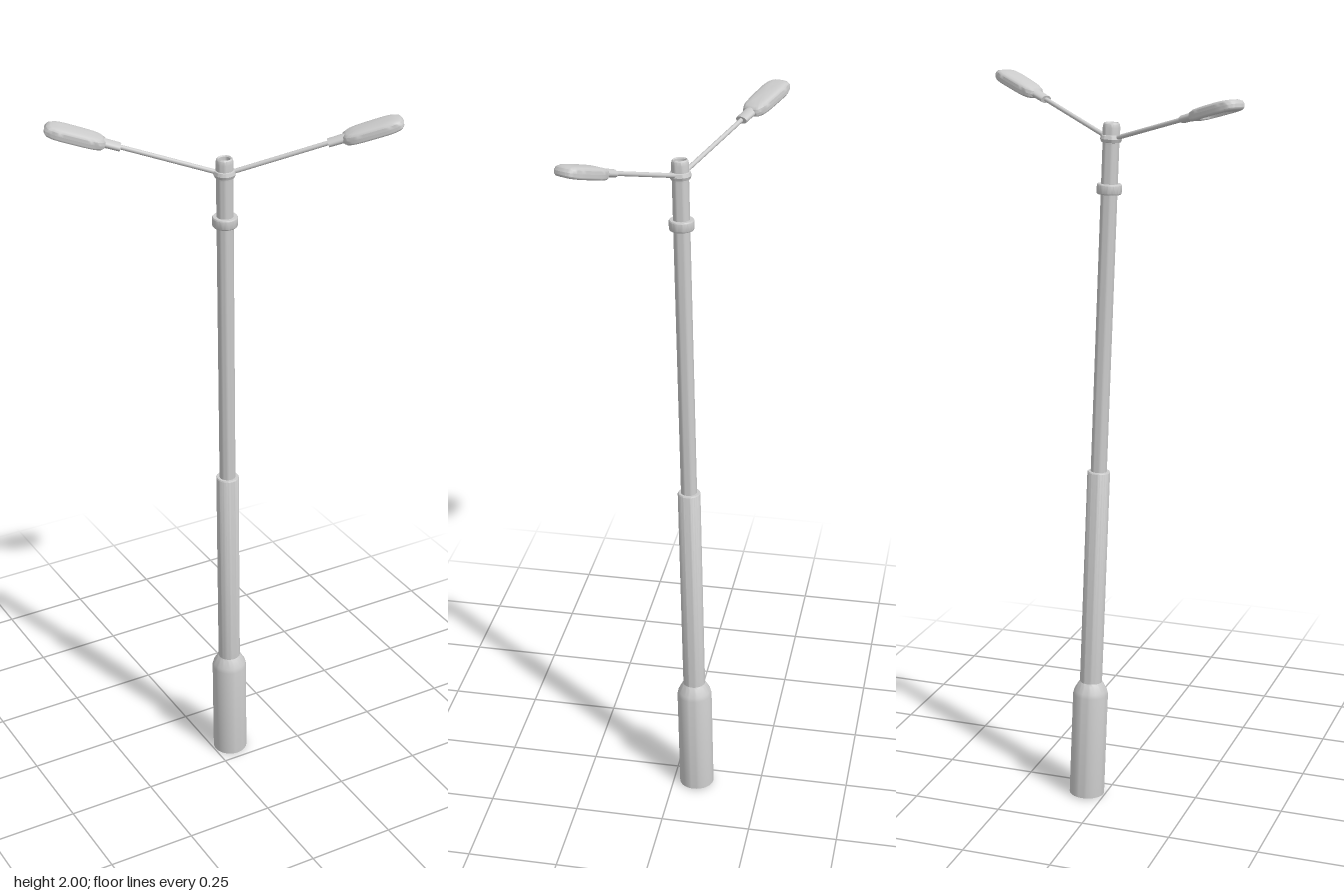
import * as THREE from 'three';
import { toCreasedNormals } from 'three/addons/utils/BufferGeometryUtils.js';

const material = new THREE.MeshStandardMaterial({ color: 0xcccccc });

function addMesh(parent, name, geometry) {
  const mesh = new THREE.Mesh(geometry, material);
  mesh.name = name;
  parent.add(mesh);
  return mesh;
}

// Turned part from [radius, height] points, listed bottom to top
function turned(points, segments = 40) {
  const profile = points.map(([r, y]) => new THREE.Vector2(r, y));
  return toCreasedNormals(new THREE.LatheGeometry(profile, segments), 0.6);
}

// Lamp housing: rounded-rectangle rings from the crown down, round the rim and into the recess
function lampHousing(halfLength, halfWidth) {
  const rings = [[0, 0.016], [0.55, 0.0155], [0.82, 0.013], [0.95, 0.008], [1, 0], [0.98, -0.008],
    [0.92, -0.013], [0.85, -0.014], [0.62, -0.014], [0.58, -0.002], [0, -0.002]];
  const n = 40, positions = [], index = [];
  const soft = (v) => Math.sign(v) * Math.pow(Math.abs(v), 0.55);
  for (const [s, y] of rings) {
    for (let i = 0; i < n; i++) {
      const a = (i / n) * Math.PI * 2;
      const x = soft(Math.cos(a));
      const taper = 1 + 0.06 * x;
      positions.push(s * halfLength * x, y, s * halfWidth * taper * soft(Math.sin(a)));
    }
  }
  for (let r = 0; r < rings.length - 1; r++) {
    for (let i = 0; i < n; i++) {
      const j = (i + 1) % n;
      const a = r * n + i, b = r * n + j, c = a + n, d = b + n;
      if (r > 0) index.push(a, b, c);
      if (r < rings.length - 2) index.push(b, d, c);
      else index.push(b, d, c);
    }
  }
  const geometry = new THREE.BufferGeometry();
  geometry.setAttribute('position', new THREE.Float32BufferAttribute(positions, 3));
  geometry.setIndex(index);
  return toCreasedNormals(geometry, 0.8);
}

// One arm along +x: rod, socket and lamp head
function createArm() {
  const arm = new THREE.Group();
  const rod = addMesh(arm, 'armRod', new THREE.CylinderGeometry(0.006, 0.006, 0.285, 16));
  rod.rotation.z = -Math.PI / 2;
  rod.position.x = 0.1425;

  const socket = addMesh(arm, 'lampSocket', new THREE.CylinderGeometry(0.018, 0.017, 0.05, 24));
  socket.rotation.z = -Math.PI / 2;
  socket.scale.x = 0.6;
  socket.position.x = 0.296;

  const lamp = addMesh(arm, 'lampHead', lampHousing(0.08, 0.036));
  lamp.position.x = 0.386;
  return arm;
}

export function createModel() {
  const model = new THREE.Group();
  model.name = 'streetLamp';

  // The whole post leans slightly about its foot
  const post = new THREE.Group();
  post.name = 'leaningPost';
  post.position.set(0.053, 0.002, -0.066);
  post.quaternion.setFromUnitVectors(
    new THREE.Vector3(0, 1, 0), new THREE.Vector3(-0.0285, 1, 0.0325).normalize());
  model.add(post);

  addMesh(post, 'base', turned([[0, 0], [0.049, 0], [0.049, 0.3], [0.046, 0.312], [0.035, 0.332], [0.031, 0.338]]));
  addMesh(post, 'lowerPole', turned([[0.031, 0.33], [0.031, 0.947], [0.029, 0.95], [0.02, 0.95]]));
  addMesh(post, 'upperPole', turned([[0.022, 0.94], [0.022, 1.84]]));
  addMesh(post, 'collar', turned([[0.02, 1.705], [0.031, 1.705], [0.033, 1.708], [0.033, 1.729],
    [0.031, 1.732], [0.02, 1.732]]));
  addMesh(post, 'armRing', turned([[0.02, 1.839], [0.026, 1.841], [0.029, 1.849], [0.026, 1.858], [0.02, 1.86]]));

  // Hollow cap with a rounded rim
  addMesh(post, 'topCap', turned([[0.022, 1.835], [0.023, 1.878], [0.021, 1.888], [0.018, 1.891],
    [0.015, 1.888], [0.014, 1.87], [0, 1.87]]));

  // Two rising arms on opposite sides
  ['leftArm', 'rightArm'].forEach((name, i) => {
    const turn = new THREE.Group();
    turn.name = name;
    turn.position.y = 1.847;
    turn.rotation.y = -0.48 + i * Math.PI;
    const arm = createArm();
    arm.name = name + 'Assembly';
    arm.rotation.z = 0.294;
    turn.add(arm);
    post.add(turn);
  });

  return model;
}
